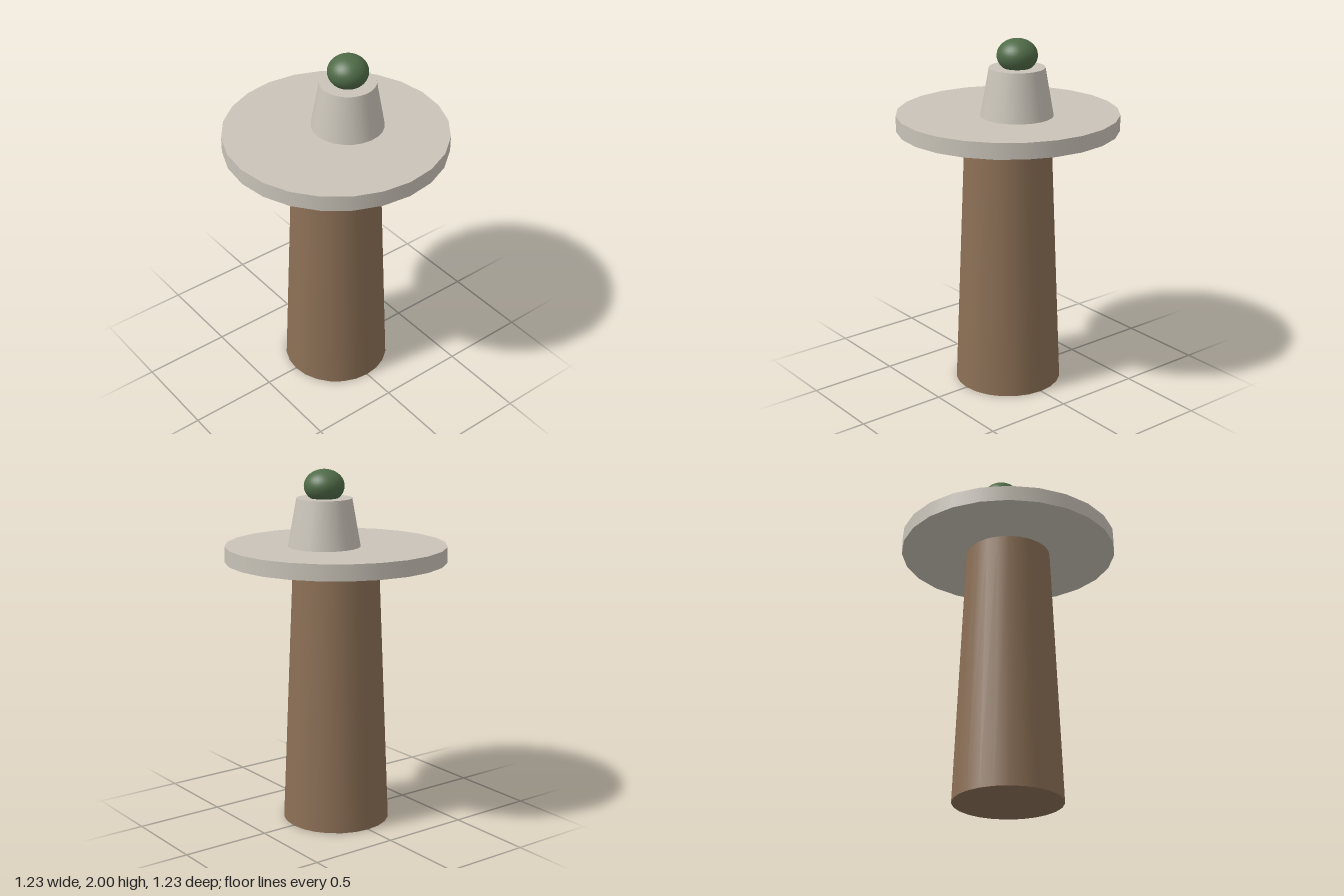
import * as THREE from 'three';

export function createModel() {
  const model = new THREE.Group();
  model.name = 'pillar';

  const material = (name, color) => {
    const m = new THREE.MeshStandardMaterial({ color });
    m.name = name;
    return m;
  };
  const brown = material('brown', 0x8b6f55);
  const stone = material('stone', 0xc9c3b8);
  const green = material('green', 0x4f6b47);

  const add = (name, geometry, mat, x, y) => {
    const mesh = new THREE.Mesh(geometry, mat);
    mesh.name = name;
    mesh.position.set(x, y, 0);
    model.add(mesh);
    return mesh;
  };
  // Upright round part between two heights
  const round = (name, mat, rBottom, rTop, y0, y1, x = 0) =>
    add(name, new THREE.CylinderGeometry(rTop, rBottom, y1 - y0, 24), mat, x, (y0 + y1) / 2);

  // Tapered column and the wide plate just above it
  round('column', brown, 0.302, 0.24, 0, 1.482);
  round('plate', stone, 0.614, 0.614, 1.492, 1.58);

  // Off-centre cone with a flattened ball on top
  round('topCone', stone, 0.2, 0.153, 1.58, 1.844, 0.08);
  const ball = add('ball', new THREE.SphereGeometry(0.111, 32, 20), green, 0.08, 1.909);
  ball.scale.y = 0.82;

  return model;
}
